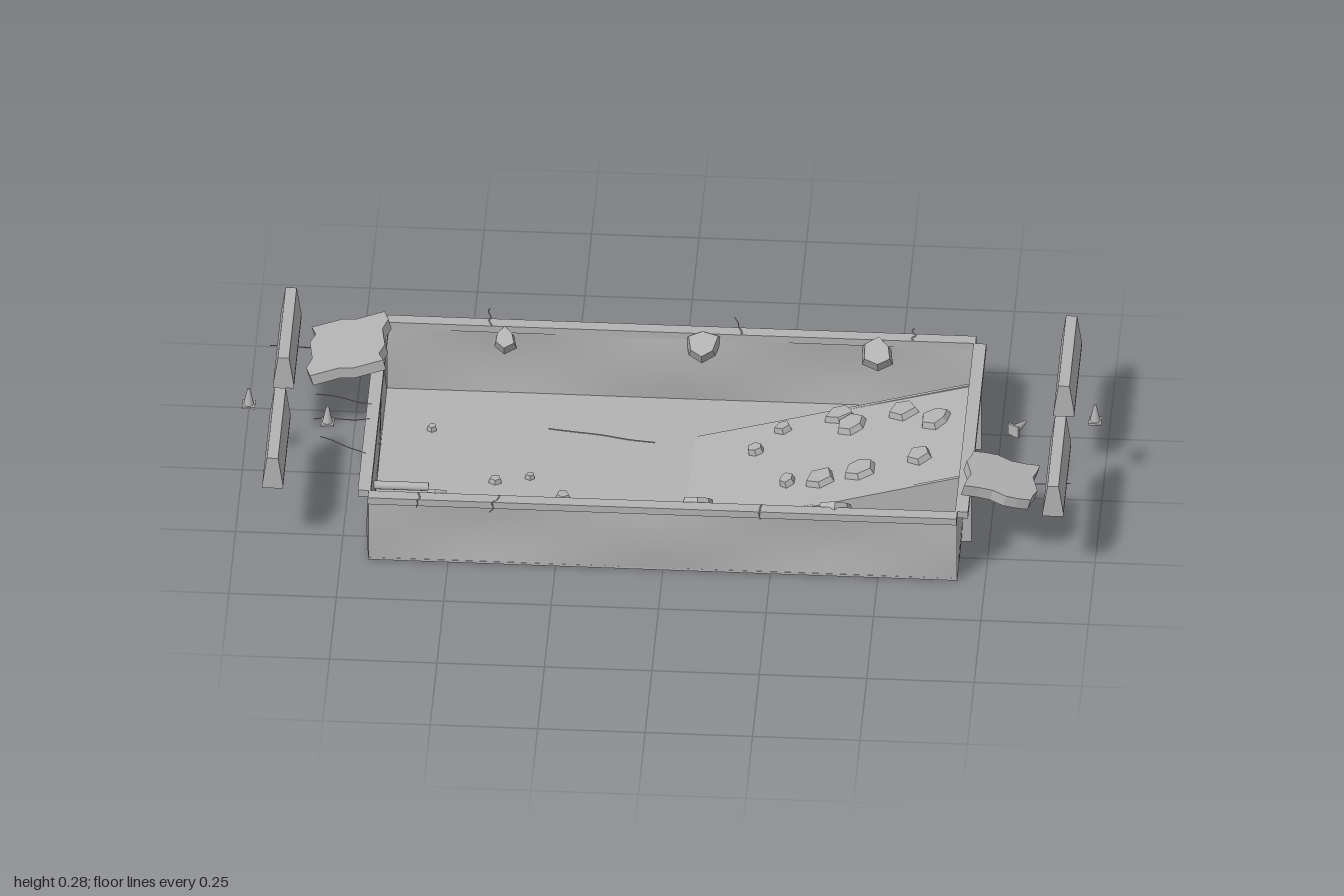
import * as THREE from 'three';

export function createModel() {
  const model = new THREE.Group();
  model.name = 'collapsedPit';

  const concrete = new THREE.MeshStandardMaterial({ color: 0xb3b3b3, side: THREE.DoubleSide });
  concrete.name = 'greyConcrete';
  const water = new THREE.MeshStandardMaterial({ color: 0x66acd4, side: THREE.DoubleSide });
  water.name = 'blueWater';

  let seed = 7;
  const rand = () => (seed = (seed * 16807) % 2147483647) / 2147483647;

  const add = (name, geo, x = 0, y = 0, z = 0, parent = model, mat = concrete) => {
    const mesh = new THREE.Mesh(geo, mat);
    mesh.name = name;
    mesh.position.set(x, y, z);
    parent.add(mesh);
    return mesh;
  };
  const box = (name, w, h, d, x, y, z, parent) => add(name, new THREE.BoxGeometry(w, h, d), x, y, z, parent);
  const faceted = (geo) => {
    const g = geo.toNonIndexed();
    g.computeVertexNormals();
    return g;
  };

  // Pit floor and gently buckled walls
  box('pitFloor', 1.37, 0.006, 0.685, 0, 0.006, 0);
  const wall = (name, width, x, z, turn) => {
    const geo = new THREE.PlaneGeometry(width, 0.185, 28, 6);
    const p = geo.attributes.position;
    for (let i = 0; i < p.count; i++) {
      const u = p.getX(i), v = p.getY(i) / 0.185 + 0.5;
      const bulge = Math.sin(v * Math.PI) * Math.sin(u * 8 + x * 3 + z * 5);
      p.setZ(i, 0.007 * bulge);
    }
    geo.computeVertexNormals();
    add(name, geo, x, 0.097, z, model).rotation.y = turn;
  };
  wall('frontWall', 1.37, 0, 0.342, 0);
  wall('backWall', 1.37, 0, -0.342, Math.PI);
  wall('leftWall', 0.685, 0.685, 0, Math.PI / 2);
  wall('rightWall', 0.685, -0.685, 0, -Math.PI / 2);

  // Rim around the top edge
  for (const s of [-1, 1]) {
    box('longRim', 1.37, 0.018, 0.03, 0, 0.188, s * 0.355);
    box('endRim', 0.03, 0.018, 0.68, s * 0.695, 0.188, 0);
  }

  // Collapsed ramp with thin side cliffs that run through the end wall
  const rampTop = 0.185, rampStart = 0.04, rampEnd = 0.685;
  const rampY = (x) => 0.009 + Math.max(0, (x - rampStart) / (rampEnd - rampStart)) * (rampTop - 0.009);
  const slope = Math.atan2(rampTop - 0.009, rampEnd - rampStart);
  const extrude = (points, depth) => {
    const shape = new THREE.Shape(points.map(([x, y]) => new THREE.Vector2(x, y)));
    return new THREE.ExtrudeGeometry(shape, { depth, bevelEnabled: false });
  };
  add('ramp', extrude([[rampStart, 0.009], [rampEnd, 0.009], [rampEnd, rampTop]], 0.37), 0, 0, -0.19);
  for (const z of [-0.192, 0.18]) {
    add('rampCliff', extrude([[rampStart, 0.006], [0.708, 0.006], [0.708, 0.185], [rampEnd, rampTop + 0.003]], 0.008), 0, 0, z);
  }

  // Broken lumps: irregular low prisms
  const lumpGeo = (r, h, sides) => {
    const geo = new THREE.CylinderGeometry(r * 0.82, r, h, sides);
    const p = geo.attributes.position;
    const reach = Array.from({ length: sides }, () => 0.75 + rand() * 0.4);
    for (let i = 0; i < p.count; i++) {
      const x = p.getX(i), z = p.getZ(i);
      if (Math.hypot(x, z) < 1e-5) continue;
      const k = Math.round((Math.atan2(x, z) / (Math.PI * 2) + 1) * sides) % sides;
      p.setX(i, x * reach[k]);
      p.setZ(i, z * reach[k]);
    }
    return faceted(geo);
  };
  const rampRubble = [[0.38, -0.16], [0.41, -0.11], [0.53, -0.13], [0.61, -0.07], [0.35, 0.09],
    [0.44, 0.08], [0.58, 0.07], [0.27, 0.07], [0.25, -0.15], [0.19, -0.08]];
  rampRubble.forEach(([x, z], i) => {
    const r = i < 7 ? 0.038 : 0.022;
    add('rampRubble', lumpGeo(r, 0.018, 5 + (i % 2)), x, rampY(x) + 0.006, z).rotation.z = slope;
  });
  for (const [x, z, r] of [[-0.41, 0.02, 0.018], [-0.33, 0, 0.012], [-0.25, 0.075, 0.018], [-0.57, -0.18, 0.012], [0.39, 0.225, 0.034]]) {
    add('floorRubble', lumpGeo(r, 0.014, 5), x, 0.014, z);
  }
  for (const [x, z, r] of [[-0.41, -0.325, 0.03], [0.05, -0.325, 0.045], [0.46, -0.32, 0.04],
    [-0.53, 0.325, 0.032], [0.08, 0.318, 0.046], [0.4, 0.318, 0.044]]) {
    const lump = add('wallRubble', lumpGeo(r, 0.035, 6), x, 0.172, z);
    lump.rotation.x = -Math.sign(z) * 0.7;
  }

  // Leaking pipe and its puddle
  const pipe = add('pipe', new THREE.CylinderGeometry(0.01, 0.01, 0.15, 12, 1, true), -0.63, 0.105, 0.186);
  pipe.rotation.z = Math.PI / 2;
  const puddle = new THREE.CircleGeometry(1, 20);
  const pp = puddle.attributes.position;
  for (let i = 1; i < pp.count; i++) {
    const a = Math.atan2(pp.getY(i), pp.getX(i)), r = 1 + 0.04 * Math.sin(a * 3 + 1);
    pp.setXY(i, Math.cos(a) * r * 0.107, Math.sin(a) * r * 0.08);
  }
  add('puddle', puddle, -0.53, 0.013, 0.16, model, water).rotation.x = -Math.PI / 2;

  // Tilted road slabs with ragged edges at both ends
  const slab = (name, w, d, x, y, z, tilt) => {
    const geo = new THREE.BoxGeometry(w, 0.028, d, 5, 1, 6);
    const p = geo.attributes.position;
    for (let i = 0; i < p.count; i++) {
      const px = p.getX(i), pz = p.getZ(i);
      p.setX(i, px + 0.007 * Math.sin(pz * 70) * (Math.abs(px) / (w / 2)));
      p.setZ(i, pz + 0.006 * Math.sin(px * 60) * (Math.abs(pz) / (d / 2)));
    }
    add(name, faceted(geo), x, y, z).rotation.z = tilt;
  };
  slab('rightRoadSlab', 0.175, 0.2, -0.765, 0.212, -0.208, 0.26);
  slab('leftRoadSlab', 0.16, 0.145, 0.778, 0.206, 0.22, -0.27);

  // Road barriers
  const profile = [[-0.024, 0], [0.024, 0], [0.024, 0.012], [0.013, 0.085], [-0.013, 0.085], [-0.024, 0.012]];
  for (const x of [-0.908, 0.908]) {
    for (const z of [-0.345, 0.06]) add('barrier', extrude(profile, 0.285), x, 0.197, z);
  }

  // Traffic cones, one knocked over
  const cone = (x, y, z) => {
    const g = new THREE.Group();
    g.name = 'trafficCone';
    box('coneBase', 0.03, 0.005, 0.03, 0, 0.0025, 0, g);
    add('coneBody', new THREE.CylinderGeometry(0.003, 0.012, 0.043, 12), 0, 0.0265, 0, g);
    g.position.set(x, y, z);
    model.add(g);
    return g;
  };
  cone(-0.984, 0.197, 0.015);
  cone(-0.797, 0.197, 0.075);
  cone(0.982, 0.197, -0.042);
  cone(0.795, 0.212, 0.028).rotation.set(-Math.PI / 2, 0, -0.6);

  // Hairline cracks running out from the rim and across the floor
  const crack = (name, x1, z1, x2, z2, y) => {
    const pts = [0, 1, 2, 3, 4].map((i) => {
      const t = i / 4, j = i % 4 ? 0.012 * (rand() - 0.5) : 0;
      return new THREE.Vector3(x1 + (x2 - x1) * t + j, y, z1 + (z2 - z1) * t + j);
    });
    add(name, new THREE.TubeGeometry(new THREE.CatmullRomCurve3(pts), 12, 0.0015, 4), 0, 0, 0);
  };
  for (const c of [[-0.45, -0.41, -0.44, -0.34], [0.12, -0.41, 0.14, -0.34], [0.54, -0.39, 0.54, -0.34],
    [-0.57, 0.34, -0.57, 0.4], [0.23, 0.34, 0.23, 0.4], [-0.38, 0.34, -0.4, 0.41],
    [-0.95, -0.23, -0.7, -0.23], [-0.83, -0.04, -0.7, -0.01], [-0.83, 0.06, -0.7, 0.05],
    [-0.81, 0.13, -0.7, 0.19], [0.7, 0.22, 0.94, 0.21]]) crack('rimCrack', ...c, 0.197);
  for (const c of [[-0.3, -0.2, -0.05, -0.16], [-0.2, 0.1, 0.0, 0.16]]) crack('floorCrack', ...c, 0.01);

  return model;
}
